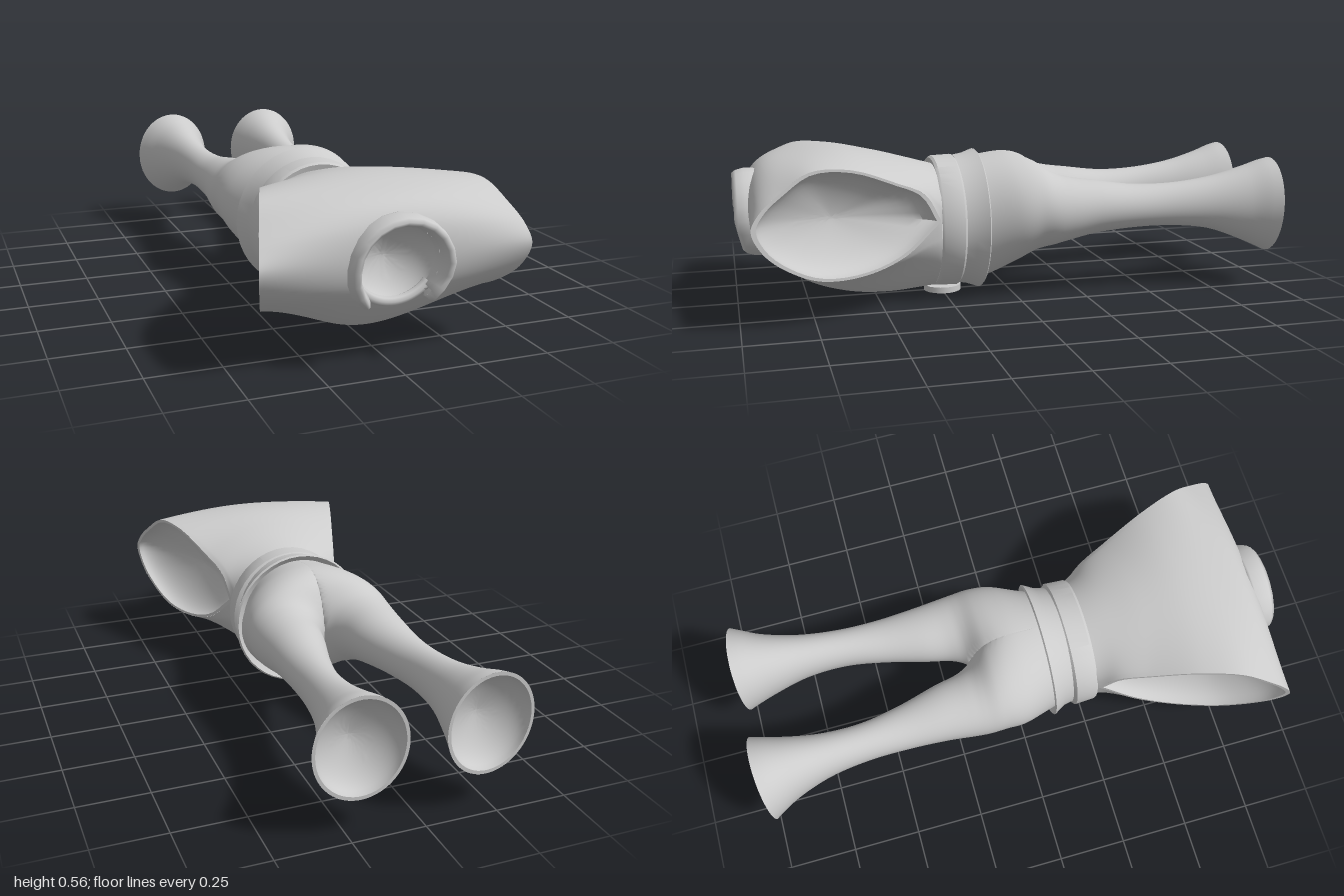
import * as THREE from 'three';
import { mergeVertices, toCreasedNormals } from 'three/addons/utils/BufferGeometryUtils.js';

const material = new THREE.MeshStandardMaterial({ color: 0xcccccc, side: THREE.DoubleSide });
const { lerp, smoothstep, clamp, degToRad } = THREE.MathUtils;

function part(name, geometry) {
  const mesh = new THREE.Mesh(geometry, material);
  mesh.name = name;
  return mesh;
}

// Surface from fn(u, v) -> [x, y, z]; skip(corners) leaves quads out
function surface(nu, nv, fn, skip = () => false) {
  const position = [], index = [];
  for (let j = 0; j <= nv; j++)
    for (let i = 0; i <= nu; i++) position.push(...fn(i / nu, j / nv));
  const point = k => position.slice(k * 3, k * 3 + 3);
  for (let j = 0; j < nv; j++)
    for (let i = 0; i < nu; i++) {
      const a = j * (nu + 1) + i, b = a + 1, c = a + nu + 1, d = c + 1;
      if (skip([a, b, c, d].map(point))) continue;
      index.push(a, b, c, b, d, c);
    }
  const g = new THREE.BufferGeometry();
  g.setAttribute('position', new THREE.Float32BufferAttribute(position, 3));
  g.setIndex(index);
  const welded = mergeVertices(g, 1e-5);
  welded.computeVertexNormals();
  return welded;
}

// Hollow closing an opening: a narrow lip, then a bowl sunk along the depth vector
function bowl(name, edge, centre, depth, lip = .95) {
  const rows = 14;
  const g = surface(48, rows, (u, v) => {
    const a = Math.max(0, v * rows - 1) / (rows - 1) * Math.PI / 2;
    const r = v === 0 ? 1 : lip * Math.max(0, Math.cos(a)) ** 1.5;
    return edge(u).map((e, k) => lerp(centre[k], e, r) + depth[k] * Math.sin(a));
  });
  return part(name, toCreasedNormals(g, .8));
}

const profile = pts => new THREE.CatmullRomCurve3(
  pts.map(([z, y]) => new THREE.Vector3(0, y, z)), false, 'centripetal');

// Shirt: a centre profile blended towards the slanted sleeve openings
const middle = profile([[.27, .48], [.38, .51], [.5, .54], [.65, .563], [.78, .552], [.895, .515], [.94, .46],
  [.952, .36], [.93, .26], [.86, .17], [.75, .08], [.6, .025], [.45, .01], [.27, .025]]);
const opening = profile([[.29, .31], [.35, .41], [.46, .465], [.62, .525], [.76, .53], [.86, .47], [.925, .415],
  [.955, .36], [.92, .28], [.84, .21], [.73, .16], [.58, .155], [.43, .2], [.29, .31]]);

function shirtPoint(u, v) {
  const s = u * 2 - 1, m = middle.getPoint(v), e = opening.getPoint(v);
  const belly = smoothstep(v, .55, .8);
  const waist = Math.abs(2 * v - 1) ** lerp(4, 8, belly);
  const flat = Math.max(0, 1 - s * s);
  const w = lerp(flat ** lerp(1, 1.8, belly), Math.sqrt(flat), waist);
  return [s * (.22 + (e.z - .29) * .345), lerp(e.y, m.y, w), lerp(e.z, m.z, w)];
}

function inNeckHole(corners) {
  const [x, y, z] = [0, 1, 2].map(k => corners.reduce((sum, p) => sum + p[k], 0) / 4);
  return z > .8 && Math.hypot(x / .137, (y - .33) / .132) < 1;
}

function makeShirt() {
  const shirt = new THREE.Group();
  shirt.name = 'shirt';
  shirt.add(part('shirtBody', surface(64, 104, shirtPoint, inNeckHole)));
  for (const side of [-1, 1])
    shirt.add(bowl(side < 0 ? 'rightSleeveHollow' : 'leftSleeveHollow',
      u => shirtPoint((side + 1) / 2, u), [side * .34, .345, .638], [side * -.12, 0, .04]));
  return shirt;
}

// Collar: rolled band, open at the throat, with closed ends
function makeCollar() {
  const collar = new THREE.Group();
  collar.name = 'collar';
  const section = [[.98, .915], [1, .93], [1, .96], [.96, .987], [.9, 1], [.83, .99], [.77, .965], [.75, .92], [.8, .91], [.98, .915]];
  const steps = 18, n = section.length - 1;
  collar.add(part('collarBand', surface(n, steps, (u, v) => {
    const k = Math.round(v * steps), end = k === 0 || k === steps;
    const t = (clamp(k, 1, steps - 1) - 1) / (steps - 2);
    let [r, z] = section[Math.round(u * n)];
    // the ends are cut obliquely, longer on the outside
    const a = degToRad(lerp(-51, 231, t)) + (2 * t - 1) ** 15 * (r - 1) * .8;
    if (end) [r, z] = [.9, .95];
    const drop = .035 * Math.max(0, -Math.sin(a));
    return [.175 * r * Math.cos(a), .33 + .165 * r * Math.sin(a), z - drop];
  })));
  const lip = [];
  for (let i = 0; i <= 12; i++) {
    const a = degToRad(-145 + i * 110 / 12);
    lip.push(new THREE.Vector3(.14 * Math.cos(a), .33 + .125 * Math.sin(a), .9));
  }
  collar.add(part('throatLip', new THREE.TubeGeometry(new THREE.CatmullRomCurve3(lip), 24, .016, 8)));
  collar.add(bowl('neckHollow', u => {
    const a = u * Math.PI * 2;
    return [.138 * Math.cos(a), .33 + .13 * Math.sin(a), .915 + .015 * Math.sin(a)];
  }, [0, .33, .915], [0, 0, -.1], .99));
  return collar;
}

// Oval band around the waist; rings are [z, half width, half height]
function ovalBand(name, rings, y) {
  const n = rings.length - 1;
  const g = surface(40, n, (u, v) => {
    const [z, rx, ry] = rings[Math.round(v * n)], a = u * Math.PI * 2;
    return [rx * Math.cos(a), y + ry * Math.sin(a), z];
  });
  return part(name, toCreasedNormals(g, .6));
}

// Trouser half: columns are z, inner x, outer x, bottom y, top y.
// A negative inner x overlaps the other half and is cut at the middle.
const stations = [[.16, -.215, .215, .04, .5], [.1, -.235, .235, .05, .51], [0, -.24, .272, .1, .517],
  [-.08, -.13, .28, .155, .495], [-.15, -.002, .28, .185, .452], [-.2, .031, .276, .2, .437],
  [-.3, .055, .266, .222, .422], [-.45, .095, .258, .238, .402], [-.6, .122, .26, .24, .403],
  [-.75, .12, .28, .222, .422], [-.88, .095, .32, .175, .455], [-.95, .075, .355, .145, .478], [-.985, .063, .373, .13, .487]];
const sides = new THREE.CatmullRomCurve3(stations.map(s => new THREE.Vector3(s[1], s[2], s[0])));
const heights = new THREE.CatmullRomCurve3(stations.map(s => new THREE.Vector3(s[3], s[4], s[0])));

function trouserPoint(side, u, v) {
  const { x: inner, y: outer, z } = sides.getPoint(v), { x: low, y: high } = heights.getPoint(v);
  const a = u * Math.PI * 2, c = Math.cos(a), s = Math.sin(a);
  const x = (inner + outer) / 2 + (outer - inner) / 2 * c;
  // the hem leans a little: furthest back at the top and inside
  const lean = v ** 8 * (.008 * s - .008 * c);
  return [side * Math.max(0, x), (low + high) / 2 + (high - low) / 2 * s, z - lean];
}

function makeTrouserHalf(side) {
  const half = new THREE.Group();
  half.name = side < 0 ? 'rightTrouserLeg' : 'leftTrouserLeg';
  half.add(part('legCloth', surface(72, 84, (u, v) => trouserPoint(side, u, v),
    corners => corners.every(p => Math.abs(p[0]) < 1e-4))));
  half.add(bowl('hemHollow', u => trouserPoint(side, u, 1), [side * .218, .3085, -.985], [0, 0, .1], .93));
  return half;
}

export function createModel() {
  const model = new THREE.Group();
  model.name = 'outfit';
  model.add(makeShirt(), makeCollar());

  model.add(ovalBand('belt', [[.28, .2, .21], [.287, .228, .236], [.278, .234, .243],
    [.205, .238, .246], [.195, .225, .237], [.195, .2, .21]], .268));
  model.add(ovalBand('waistFrill', [[.21, .2, .21], [.2, .222, .24], [.16, .23, .247],
    [.118, .256, .262], [.113, .25, .256], [.14, .21, .22]], .27));

  // Buckle under the belt
  const buckle = part('buckle', new THREE.CylinderGeometry(.07, .07, .022, 20));
  buckle.position.set(0, .011, .245);
  model.add(buckle);

  const trousers = new THREE.Group();
  trousers.name = 'trousers';
  trousers.add(makeTrouserHalf(1), makeTrouserHalf(-1));
  model.add(trousers);
  return model;
}
